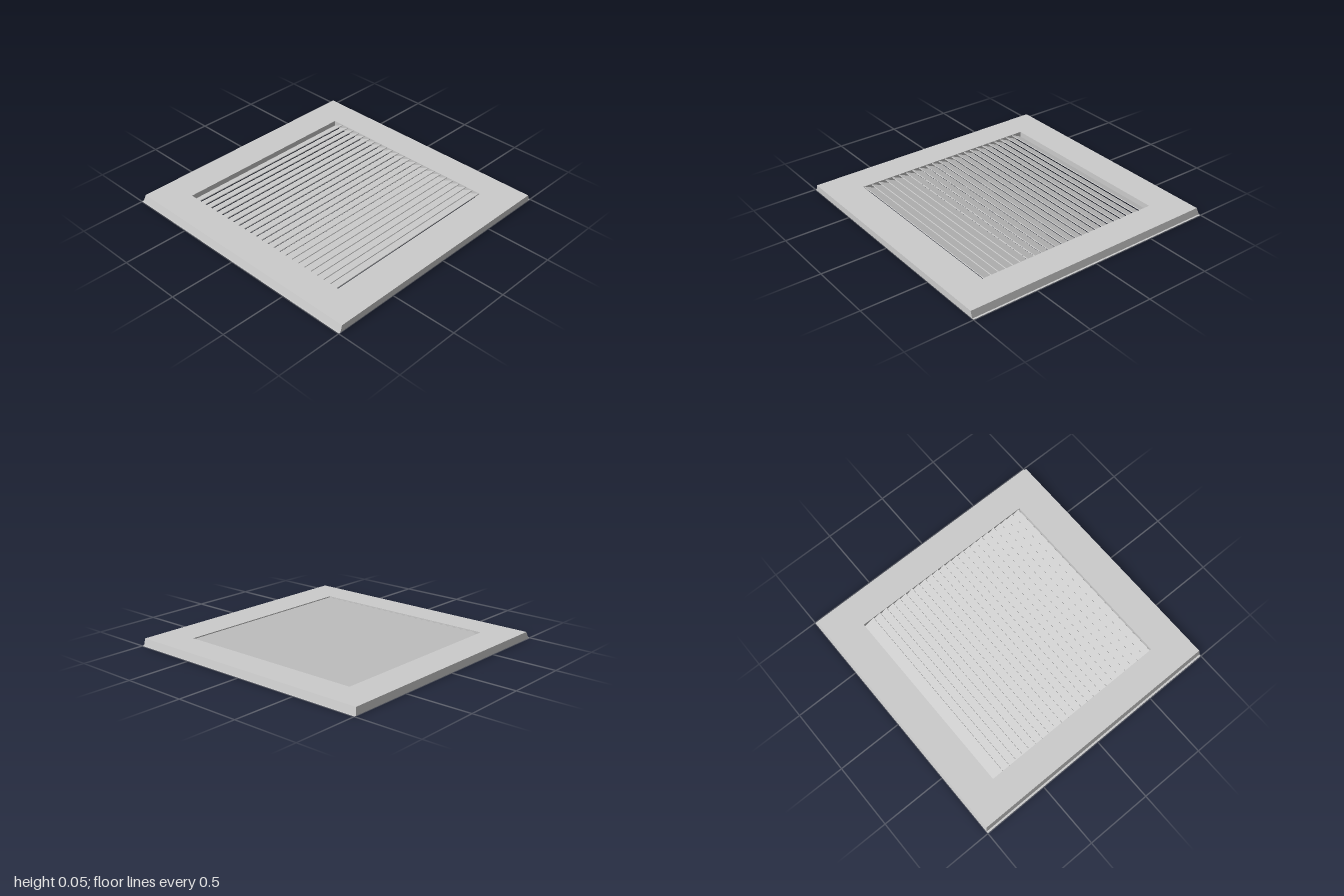
import * as THREE from 'three';

const material = new THREE.MeshStandardMaterial({ color: 0xcccccc, flatShading: true });
const thin = new THREE.MeshStandardMaterial({ color: 0xcccccc, side: THREE.DoubleSide });

const HEIGHT = 0.05, OPENING = 0.74;

// Rectangle with the square louvre opening cut out
function ringShape(halfX, halfZ) {
  const rect = (target, x, z) => target.moveTo(-x, -z).lineTo(x, -z).lineTo(x, z).lineTo(-x, z).closePath();
  const shape = rect(new THREE.Shape(), halfX, halfZ);
  shape.holes.push(rect(new THREE.Path(), OPENING, OPENING));
  return shape;
}

function addMesh(group, name, geometry, mat = material) {
  const mesh = new THREE.Mesh(geometry, mat);
  mesh.name = name;
  group.add(mesh);
  return mesh;
}

export function createModel() {
  const group = new THREE.Group();
  group.name = 'louvredVent';

  // Flat frame; the top rim is drawn in at the sides and back, the front is upright
  const frame = new THREE.ExtrudeGeometry(ringShape(0.984, 1), { depth: HEIGHT, bevelEnabled: false });
  frame.rotateX(-Math.PI / 2);
  const p = frame.attributes.position;
  for (let i = 0; i < p.count; i++) {
    if (p.getY(i) < HEIGHT / 2) continue;
    if (Math.abs(p.getX(i)) > 0.9) p.setX(i, Math.sign(p.getX(i)) * 0.97);
    if (p.getZ(i) < -0.9) p.setZ(i, -0.988);
  }
  frame.computeVertexNormals();
  addMesh(group, 'frame', frame);

  // Paper-thin lips along the bottom of both sides
  for (const side of [-1, 1]) {
    const lip = new THREE.PlaneGeometry(0.014, 2).rotateX(-Math.PI / 2);
    addMesh(group, side > 0 ? 'leftLip' : 'rightLip', lip, thin).position.x = side * 0.991;
  }

  // Overlapping slats, rising towards the front
  const slats = new THREE.Group();
  slats.name = 'slats';
  group.add(slats);
  const slatGeometry = new THREE.BoxGeometry(2 * OPENING, 0.006, 0.098).rotateX(-0.42);
  for (let i = 0; i < 24; i++) {
    addMesh(slats, 'slat', slatGeometry).position.set(0, 0.025, -0.696 + i * 0.06);
  }
  return group;
}
